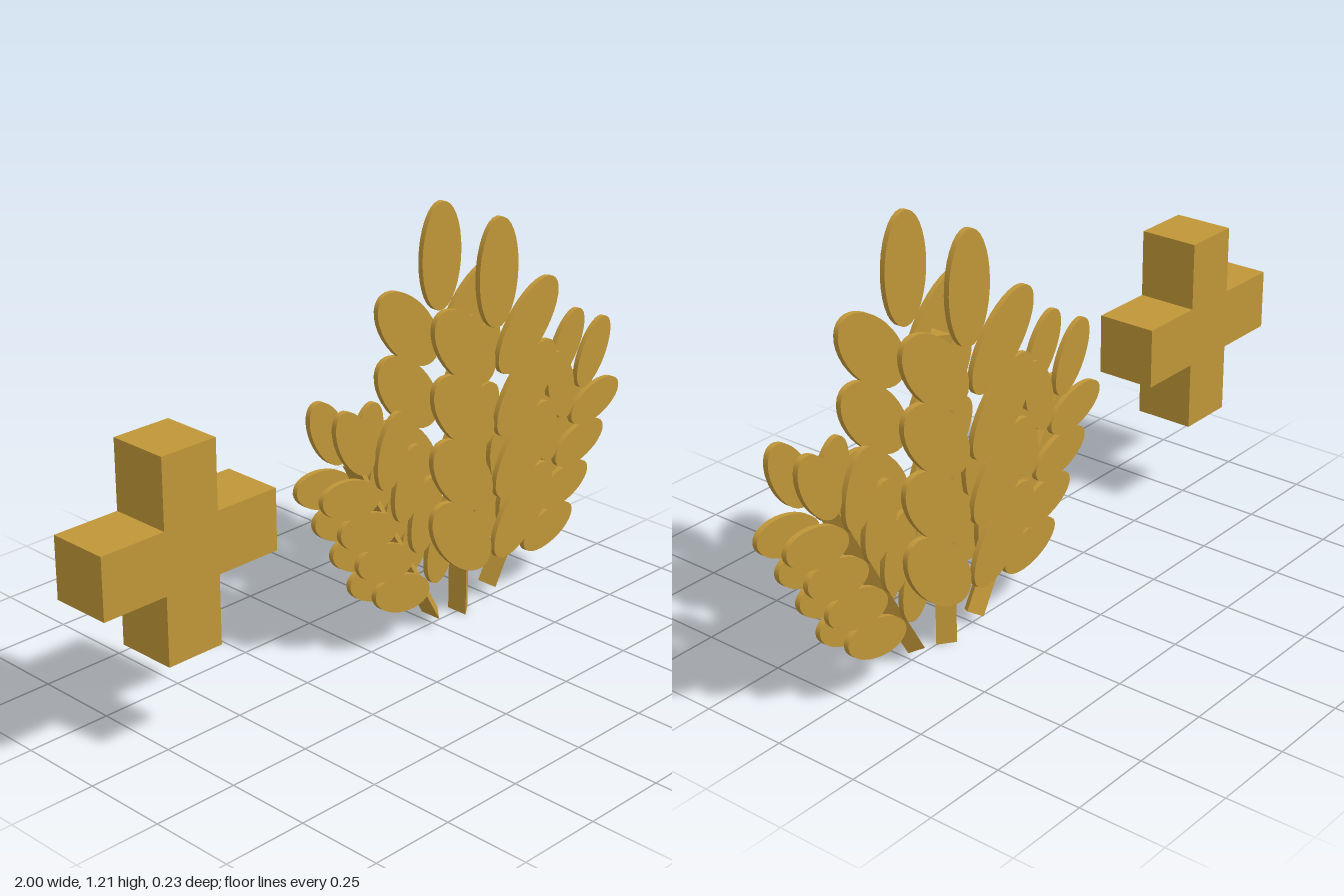
import * as THREE from 'three';

export function createModel() {
  const model = new THREE.Group();
  const gold = new THREE.MeshStandardMaterial({ color: 0xbf9538 });
  gold.name = 'gold';

  const add = (parent, name, geometry) => {
    const mesh = new THREE.Mesh(geometry, gold);
    mesh.name = name;
    parent.add(mesh);
    return mesh;
  };

  // Thick plus sign, outlined as one twelve-cornered shape
  const a = 0.285, b = 0.0875, depth = 0.178;
  const outline = [
    [-b, -a], [b, -a], [b, -b], [a, -b], [a, b], [b, b],
    [b, a], [-b, a], [-b, b], [-a, b], [-a, -b], [-b, -b],
  ].map(([x, y]) => new THREE.Vector2(x, y));
  const plusGeometry = new THREE.ExtrudeGeometry(new THREE.Shape(outline), { depth, bevelEnabled: false });
  add(model, 'plusSign', plusGeometry).position.set(-0.715, 0.575, -0.096);

  // Three-sided stem, ridge towards +x, standing on its base
  const triangle = new THREE.Shape([
    new THREE.Vector2(-0.023, -0.034),
    new THREE.Vector2(0.023, 0),
    new THREE.Vector2(-0.023, 0.034),
  ]);
  const stemGeometry = new THREE.ExtrudeGeometry(triangle, { depth: 0.9, bevelEnabled: false });
  stemGeometry.rotateX(-Math.PI / 2);

  // Thin oval leaf lying in the xy plane
  const leafGeometry = new THREE.CylinderGeometry(1, 1, 0.016, 32);
  leafGeometry.rotateX(Math.PI / 2);
  leafGeometry.scale(0.079, 0.157, 1);

  // One ear: a stem between a front and a back layer of leaves
  function makeEar(name, x, y, size, tilt, layerZ) {
    const ear = new THREE.Group();
    ear.name = name;
    ear.position.set(x, y, 0);
    ear.rotation.z = tilt;
    ear.scale.set(size, size, 1);
    add(ear, 'stem', stemGeometry);

    for (const side of [1, -1]) {
      const layer = new THREE.Group();
      layer.name = side > 0 ? 'frontLeaves' : 'backLeaves';
      layer.position.z = side * layerZ;
      add(layer, 'tipLeaf', leafGeometry).position.y = 1.052;
      for (let i = 0; i < 4; i++) {
        for (const s of [1, -1]) {
          const leaf = add(layer, s > 0 ? 'leftLeaf' : 'rightLeaf', leafGeometry);
          leaf.position.set(s * 0.13, 0.31 + i * 0.187, 0);
          leaf.rotation.z = -s * Math.PI / 4;
        }
      }
      ear.add(layer);
    }
    model.add(ear);
  }

  makeEar('middleEar', 0.378, 0, 1, 0, 0.105);
  makeEar('leftEar', 0.499, 0.035, 0.71, -Math.PI / 6, 0.049);
  makeEar('rightEar', 0.257, 0.035, 0.71, Math.PI / 6, 0.049);

  return model;
}
